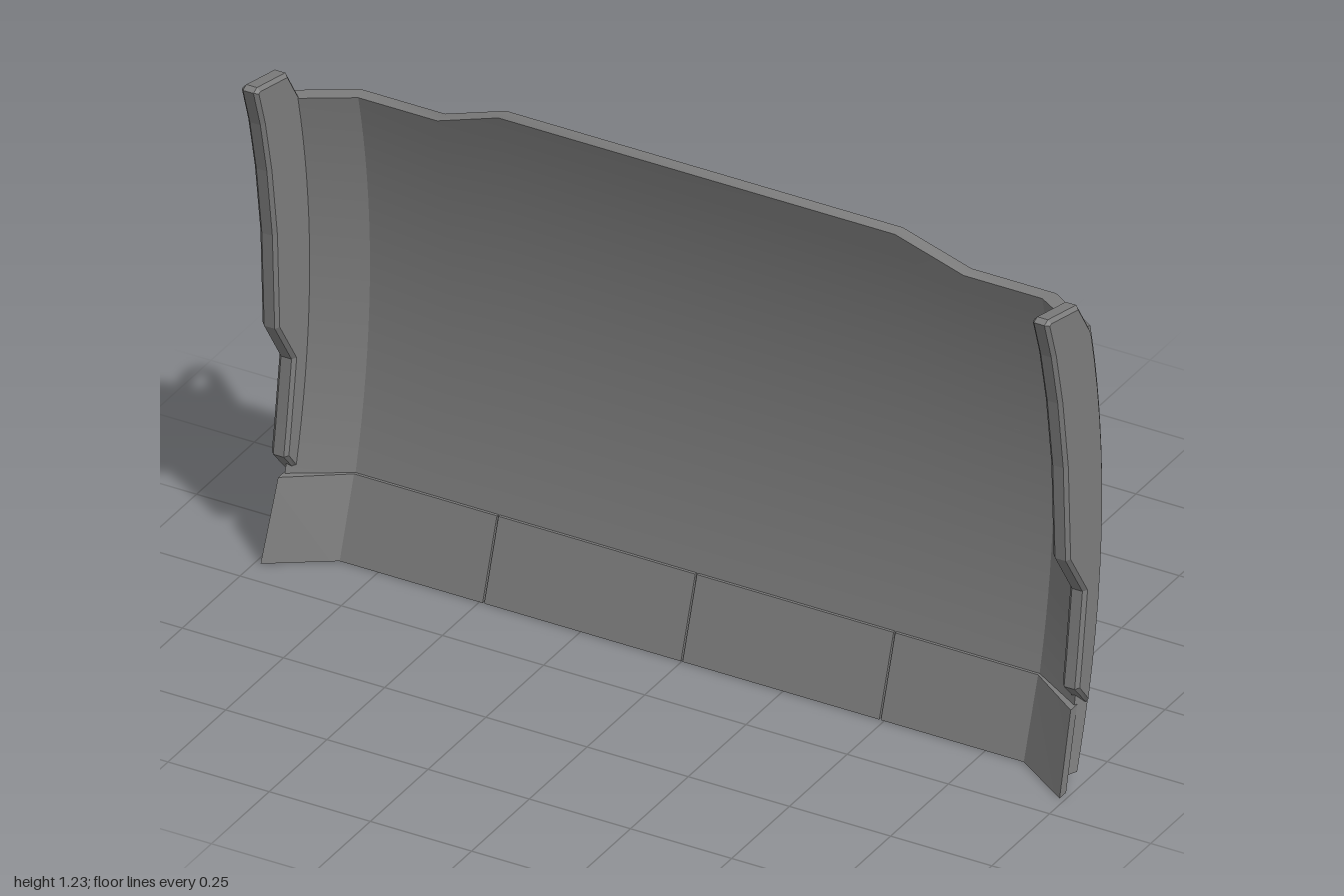
import * as THREE from 'three';
import { toCreasedNormals } from 'three/addons/utils/BufferGeometryUtils.js';

const steel = new THREE.MeshStandardMaterial({ color: 0x7c7c7c });
const pinMaterial = new THREE.MeshStandardMaterial({ color: 0xe8c8e8 });

// curve of the blade's rear face
const backZ = (y) => -0.075 + 0.26 * (y - 0.68) ** 2;
const lerp = THREE.MathUtils.lerp;

function addMesh(parent, name, geometry, material = steel) {
  const mesh = new THREE.Mesh(geometry, material);
  mesh.name = name;
  parent.add(mesh);
  return mesh;
}

// closed slab: each column gives a rear and a front point for every height t
function slab(columns, rows, pointAt) {
  const pos = [];
  const quad = (a, b, c, d) => pos.push(...a, ...b, ...c, ...a, ...c, ...d);
  const n = columns.length;
  const rings = [];
  for (let r = 0; r <= rows; r++) {
    const back = columns.map((c) => pointAt(c, r / rows, false));
    const front = columns.map((c) => pointAt(c, r / rows, true));
    rings.push([...back, ...front.reverse()]);
  }
  for (let r = 0; r < rows; r++) {
    for (let i = 0; i < 2 * n; i++) {
      const j = (i + 1) % (2 * n);
      quad(rings[r][i], rings[r + 1][i], rings[r + 1][j], rings[r][j]);
    }
  }
  const low = rings[0], high = rings[rows];
  for (let i = 0; i < n - 1; i++) {
    const k = 2 * n - 1 - i;
    quad(high[i], high[k], high[k - 1], high[i + 1]);
    quad(low[i], low[i + 1], low[k - 1], low[k]);
  }
  const g = new THREE.BufferGeometry();
  g.setAttribute('position', new THREE.Float32BufferAttribute(pos, 3));
  return toCreasedNormals(g, 0.4);
}

// plate drawn in (z, y), given its thickness along x and centred on x
function sidePlate(shape, thickness, x, bevel = 0.004) {
  const g = new THREE.ExtrudeGeometry(shape, {
    depth: thickness - 2 * bevel, curveSegments: 16, bevelEnabled: true, bevelSegments: 1,
    bevelSize: bevel, bevelThickness: bevel, bevelOffset: -bevel,
  });
  g.translate(0, 0, bevel - thickness / 2);
  g.rotateY(-Math.PI / 2);
  g.translate(x, 0, 0);
  return g;
}

const polygon = (pts) => new THREE.Shape(pts.map(([a, b]) => new THREE.Vector2(a, b)));

// plate outline with a round lobe between the points before and after it
function lobePlate(before, [cz, cy, r, from, to], after) {
  const s = new THREE.Shape();
  s.moveTo(...before[0]);
  before.slice(1).forEach((p) => s.lineTo(...p));
  s.absarc(cz, cy, r, from, to, false);
  after.forEach((p) => s.lineTo(...p));
  s.closePath();
  return s;
}

// horizontal stiffener following the rear face, highest behind the bracket
function ribGeometry(y, height, side) {
  const z = backZ(y);
  const shape = polygon([
    [0.075, z + 0.015], [0.65, z + 0.015], [0.65, z - 0.018], [0.485, z - 0.055],
    [0.345, z - 0.055], [0.075, z - 0.018],
  ].map(([x, zz]) => [x * side, zz]));
  const g = new THREE.ExtrudeGeometry(shape, { depth: height, bevelEnabled: false });
  g.rotateX(Math.PI / 2);
  g.translate(0, y + height / 2, 0);
  return g;
}

// twin-plate hinge bracket with its pin
function addClevis(parent, name, plate, x, pinY, pinZ) {
  const clevis = new THREE.Group();
  clevis.name = name;
  for (const o of [-0.036, 0.036]) addMesh(clevis, 'clevisPlate', sidePlate(plate, 0.022, x + o));
  const pin = addMesh(clevis, 'pin', new THREE.CylinderGeometry(0.027, 0.027, 0.102, 24), pinMaterial);
  pin.rotation.z = Math.PI / 2;
  pin.position.set(x, pinY, pinZ);
  parent.add(clevis);
}

export function createModel() {
  const model = new THREE.Group();
  model.name = 'dozerBlade';

  // curved main plate; columns: rear x, rear offset, front x, front offset, top height
  const half = [
    [0.49, 0, 0.49, 0.034, 1.185], [0.65, 0, 0.65, 0.034, 1.122],
    [0.86, 0, 0.845, 0.034, 1.122], [0.99, 0.08, 0.975, 0.112, 1.122],
  ];
  const mirrored = half.map(([a, b, c, d, e]) => [-a, b, -c, d, e]).reverse();
  addMesh(model, 'mainPlate', slab([...mirrored, ...half], 20, (c, t, front) => {
    const y = lerp(0.035, c[4], t);
    return [front ? c[2] : c[0], y, backZ(y) + (front ? c[3] : c[1])];
  }));

  // cutting edge in four lengths with fine joints, the outer ones bent forward
  const bend = (x) => Math.max(0, Math.abs(x) - 0.845) * 0.66;
  const outer = [0.492, 0.845, 0.987], inner = [0.002, 0.488];
  const flip = (xs) => xs.map((x) => -x).reverse();
  for (const xs of [flip(outer), flip(inner), inner, outer]) {
    addMesh(model, 'cuttingEdge', slab(xs, 1, (x, t, front) => [
      x * (1 - (Math.abs(x) > 0.9 ? 0.008 * t : 0)), lerp(0.004, 0.19, t),
      lerp(0.09, 0.028, t) + bend(x) - (front ? 0 : 0.028),
    ]));
  }

  // side wing outline: stepped front edge, rear edge along the blade curve
  const wing = [
    [0.075, 0.19], [0.124, 0.246], [0.112, 0.32], [0.09, 0.474], [0.163, 0.588],
    [0.173, 0.826], [0.197, 1.0], [0.225, 1.13], [0.255, 1.225], [0.24, 1.232],
    [0.117, 1.205], [0.065, 1.122],
  ];
  for (let i = 0; i <= 12; i++) {
    const y = lerp(1.11, 0.2, i / 12);
    wing.push([backZ(y) + 0.086, y]);
  }

  // lifting eye with its hole
  const eye = lobePlate([[-0.04, 0.74], [-0.04, 0.968]],
    [-0.125, 0.925, 0.055, Math.PI / 2, Math.PI * 1.1], [[-0.115, 0.74]]);
  eye.holes.push(new THREE.Path().absarc(-0.125, 0.93, 0.033, 0, Math.PI * 2, true));

  const upperPlate = lobePlate([[-0.08, 0.74], [-0.08, 0.875], [-0.13, 0.875], [-0.155, 0.862]],
    [-0.19, 0.82, 0.05, Math.PI / 2, Math.PI * 1.5], [[-0.135, 0.768], [-0.118, 0.735]]);
  const lowerPlate = lobePlate([[-0.05, 0.3], [-0.09, 0.56], [-0.115, 0.545], [-0.165, 0.41]],
    [-0.207, 0.35, 0.05, Math.PI / 2, Math.PI * 1.5], [[-0.15, 0.31], [-0.095, 0.29]]);
  const upperFoot = polygon([[-0.05, 0.875], [-0.1, 0.875], [-0.12, 0.735], [-0.118, 0.695],
    [-0.1, 0.67], [-0.05, 0.67]]);
  const lowerFoot = polygon([[-0.05, 0.615], [-0.1, 0.615], [-0.12, 0.58], [-0.096, 0.3],
    [-0.02, 0.3]]);

  // everything that repeats on both sides
  for (const side of [1, -1]) {
    const group = new THREE.Group();
    group.name = side > 0 ? 'leftFittings' : 'rightFittings';
    const x = 0.415 * side;
    addMesh(group, 'sideWing', sidePlate(polygon(wing), 0.042, 0.977 * side, 0.008));
    addMesh(group, 'liftingEye', sidePlate(eye, 0.022, 0.755 * side));
    addMesh(group, 'upperRib', ribGeometry(0.875, 0.032, side));
    addMesh(group, 'lowerRib', ribGeometry(0.29, 0.045, side));
    addMesh(group, 'upperFoot', sidePlate(upperFoot, 0.135, x));
    addMesh(group, 'lowerFoot', sidePlate(lowerFoot, 0.135, x));
    addClevis(group, 'upperClevis', upperPlate, x, 0.82, -0.187);
    addClevis(group, 'lowerClevis', lowerPlate, x, 0.35, -0.208);
    model.add(group);
  }
  return model;
}
